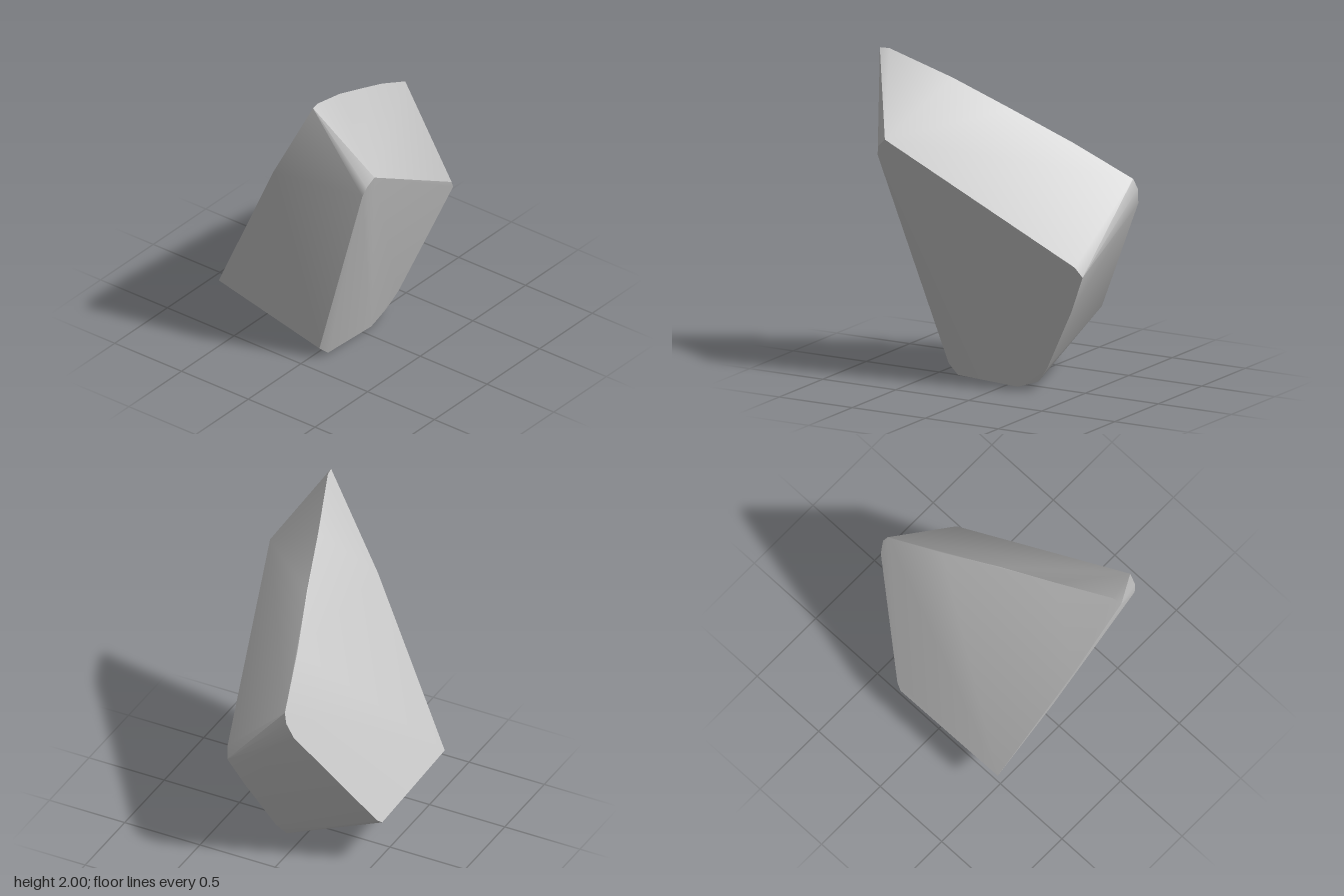
import * as THREE from 'three';
import { ConvexGeometry } from 'three/addons/geometries/ConvexGeometry.js';
import { toCreasedNormals } from 'three/addons/utils/BufferGeometryUtils.js';

export function createModel() {
  const model = new THREE.Group();
  model.name = 'rock';
  const stone = new THREE.MeshStandardMaterial({ color: 0xcacaca });
  stone.name = 'pale stone grey';

  const corners = [
    // peak and the ridge running down to the back
    [0.28, 2.0, 0.74], [0.27, 2.0, 0.68], [0.145, 1.84, 0.32], [0.04, 1.67, -0.02],
    [-0.08, 1.485, -0.37], [-0.18, 1.29, -0.72], [-0.2, 1.23, -0.74], [-0.24, 1.13, -0.72],
    // front right shoulder
    [0.575, 1.53, 0.53], [0.56, 1.48, 0.585], [0.54, 1.42, 0.6],
    // back right shoulder
    [0.27, 0.83, -0.59], [0.25, 0.77, -0.63],
    // rounded lower back edge
    [0.19, 0.54, -0.52], [0.1, 0.15, -0.3], [0.07, 0.05, -0.22],
    // foot
    [0.07, 0.0, -0.08], [0.07, 0.02, 0.33], [0.06, 0.08, 0.4],
    // left lower edge
    [-0.575, 0.38, 0.55], [-0.575, 0.345, -0.24], [-0.56, 0.38, -0.28],
    // gentle bulge on the left front edge
    [-0.06, 1.4, 0.685],
  ].map((p) => new THREE.Vector3(...p));

  // Broad faces shade smoothly over their bevels, main ridges stay sharp
  const geometry = toCreasedNormals(new ConvexGeometry(corners), 0.6);
  const boulder = new THREE.Mesh(geometry, stone);
  boulder.name = 'boulder';
  model.add(boulder);
  return model;
}
